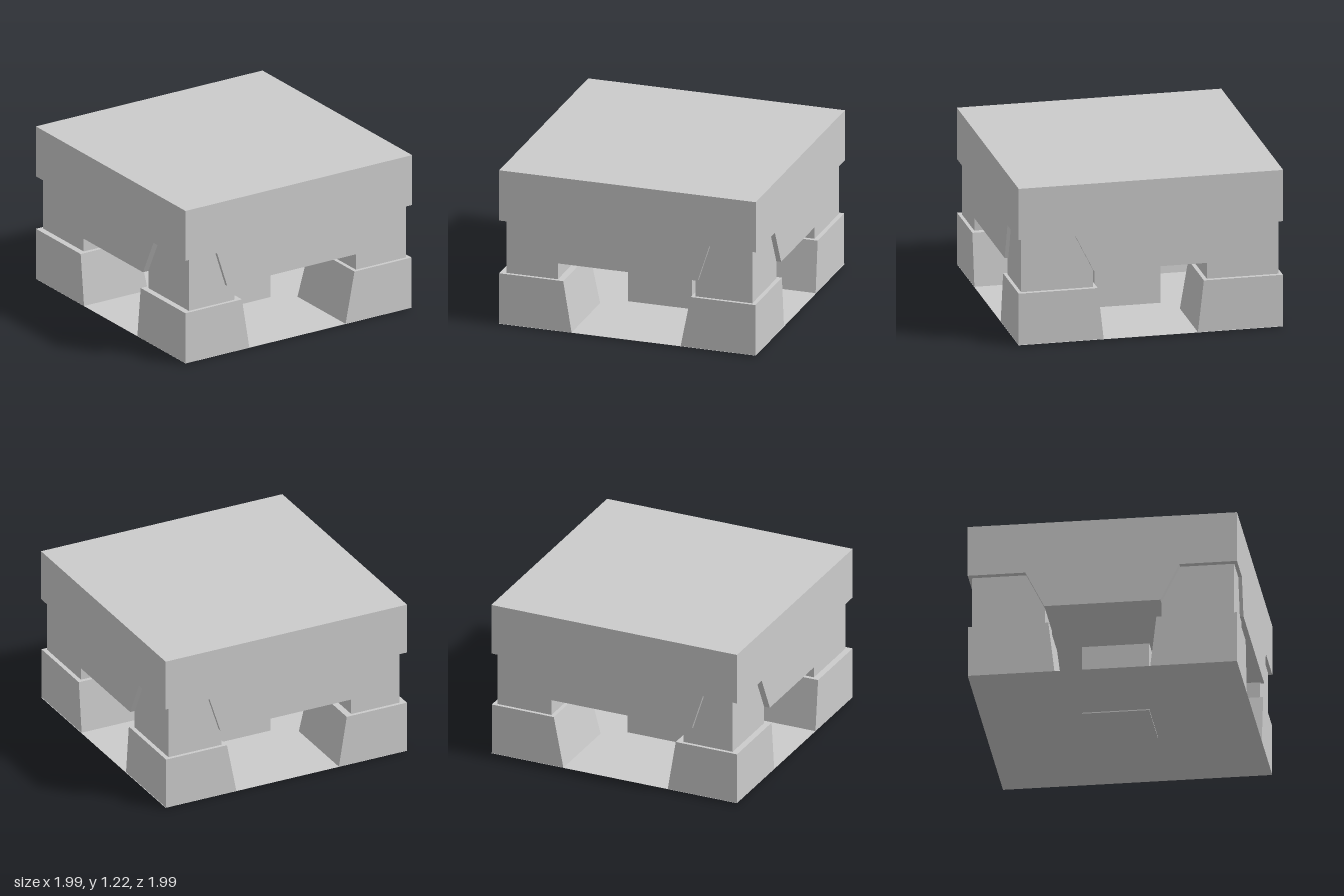
import * as THREE from 'three';

const material = new THREE.MeshStandardMaterial({ color: 0xcccccc, flatShading: true });
const floorMaterial = new THREE.MeshStandardMaterial({ color: 0xcccccc, side: THREE.DoubleSide });

// Solid between two matching outlines of [x, z] points, counter-clockwise in x-z
function loft(bottom, y0, top, y1) {
  const positions = [];
  const add = (...pts) => pts.forEach(([p, y]) => positions.push(p[0], y, p[1]));
  bottom.forEach((a, i) => {
    const j = (i + 1) % bottom.length;
    add([a, y0], [top[i], y1], [top[j], y1]);
    add([a, y0], [top[j], y1], [bottom[j], y0]);
  });
  const caps = THREE.ShapeUtils.triangulateShape(bottom.map(([x, z]) => new THREE.Vector2(x, z)), []);
  for (const [a, b, c] of caps) {
    add([bottom[a], y0], [bottom[b], y0], [bottom[c], y0]);
    add([top[a], y1], [top[c], y1], [top[b], y1]);
  }
  const geometry = new THREE.BufferGeometry();
  geometry.setAttribute('position', new THREE.Float32BufferAttribute(positions, 3));
  geometry.computeVertexNormals();
  return geometry;
}

// Rectangle outline from any two opposite corners
function rect(xa, xb, za, zb) {
  const x0 = Math.min(xa, xb), x1 = Math.max(xa, xb);
  const z0 = Math.min(za, zb), z1 = Math.max(za, zb);
  return [[x0, z0], [x1, z0], [x1, z1], [x0, z1]];
}

// Square outline with its four corners notched away
function cross(xl, xr, z, s = 0.997) {
  return [
    [xl, -s], [xr, -s], [xr, -z], [s, -z], [s, z], [xr, z],
    [xr, s], [xl, s], [xl, z], [-s, z], [-s, -z], [xl, -z],
  ];
}

export function createModel() {
  const group = new THREE.Group();
  const add = (name, geometry, mat = material) => {
    const mesh = new THREE.Mesh(geometry, mat);
    mesh.name = name;
    group.add(mesh);
    return mesh;
  };

  // Heavy top: full slab over a part with sloping corner notches
  const full = rect(-0.997, 0.997, -0.997, 0.997);
  add('topSlab', loft(full, 0.82, full, 1.215));
  add('notchedUnderside', loft(cross(-0.63, 0.545, 0.43), 0.54, cross(-0.72, 0.635, 0.57), 0.82));

  // Central pillar
  const pillar = rect(-0.255, 0.243, -0.248, 0.25);
  add('centrePillar', loft(pillar, 0, pillar, 0.54));

  // Thin floor sheet
  const floor = add('floor', new THREE.PlaneGeometry(1.994, 1.994).rotateX(-Math.PI / 2), floorMaterial);
  floor.position.y = 0.008;

  // Corner posts on tapered feet
  const sides = [
    { name: 'Right', outer: -0.997, postOuter: -0.95, postInner: -0.55, footTop: -0.5, footBase: -0.435 },
    { name: 'Left', outer: 0.993, postOuter: 0.96, postInner: 0.52, footTop: 0.49, footBase: 0.412 },
  ];
  for (const s of sides) {
    for (const [end, dir] of [['front', 1], ['back', -1]]) {
      const post = rect(s.postOuter, s.postInner, dir * 0.97, dir * 0.43);
      add(`${end}${s.name}Post`, loft(post, 0.4, post, 0.82));
      const base = rect(s.outer, s.footBase, dir * 0.996, dir * 0.355);
      const top = rect(s.outer, s.footTop, dir * 0.996, dir * 0.4);
      add(`${end}${s.name}Foot`, loft(base, 0.009, top, 0.405));
    }
  }
  return group;
}
